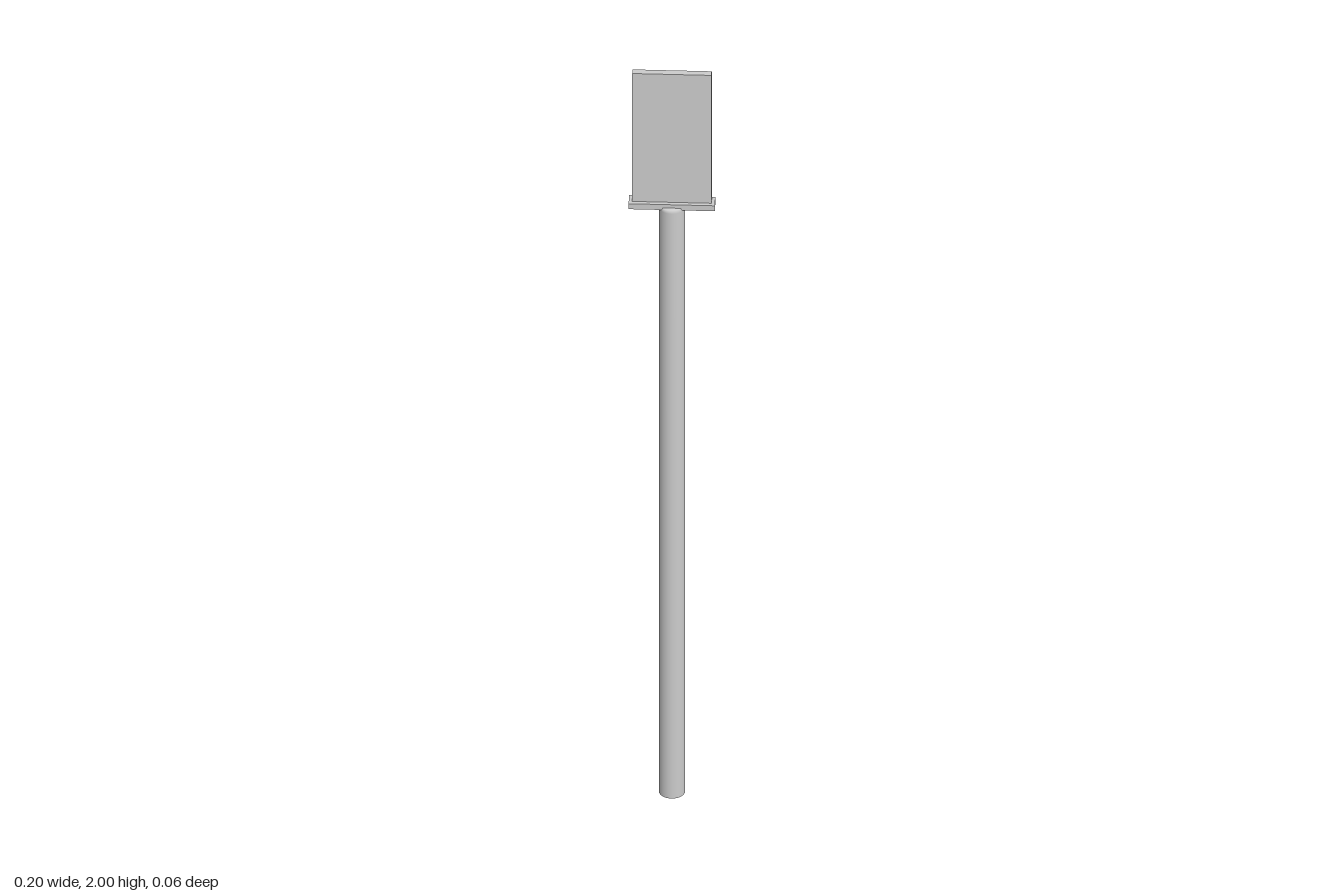
import * as THREE from 'three';

export function createModel() {
  const group = new THREE.Group();
  const material = new THREE.MeshStandardMaterial({ color: 0xcccccc });

  const add = (name, geometry, y) => {
    const mesh = new THREE.Mesh(geometry, material);
    mesh.name = name;
    mesh.position.y = y;
    group.add(mesh);
  };

  // Round pole with a slightly softened top rim
  const profile = [[0.03, 0], [0.03, 1.627], [0.027, 1.634], [0, 1.636]]
    .map(([r, y]) => new THREE.Vector2(r, y));
  add('pole', new THREE.LatheGeometry(profile, 32), 0);

  // Flat underside of the pole
  const base = new THREE.CircleGeometry(0.03, 32).rotateX(Math.PI / 2);
  add('poleBase', base, 0);

  // Narrow ledge carrying the upright panel
  add('ledge', new THREE.BoxGeometry(0.196, 0.015, 0.035), 1.6365);
  add('panel', new THREE.BoxGeometry(0.18, 0.36, 0.016), 1.82);

  return group;
}
